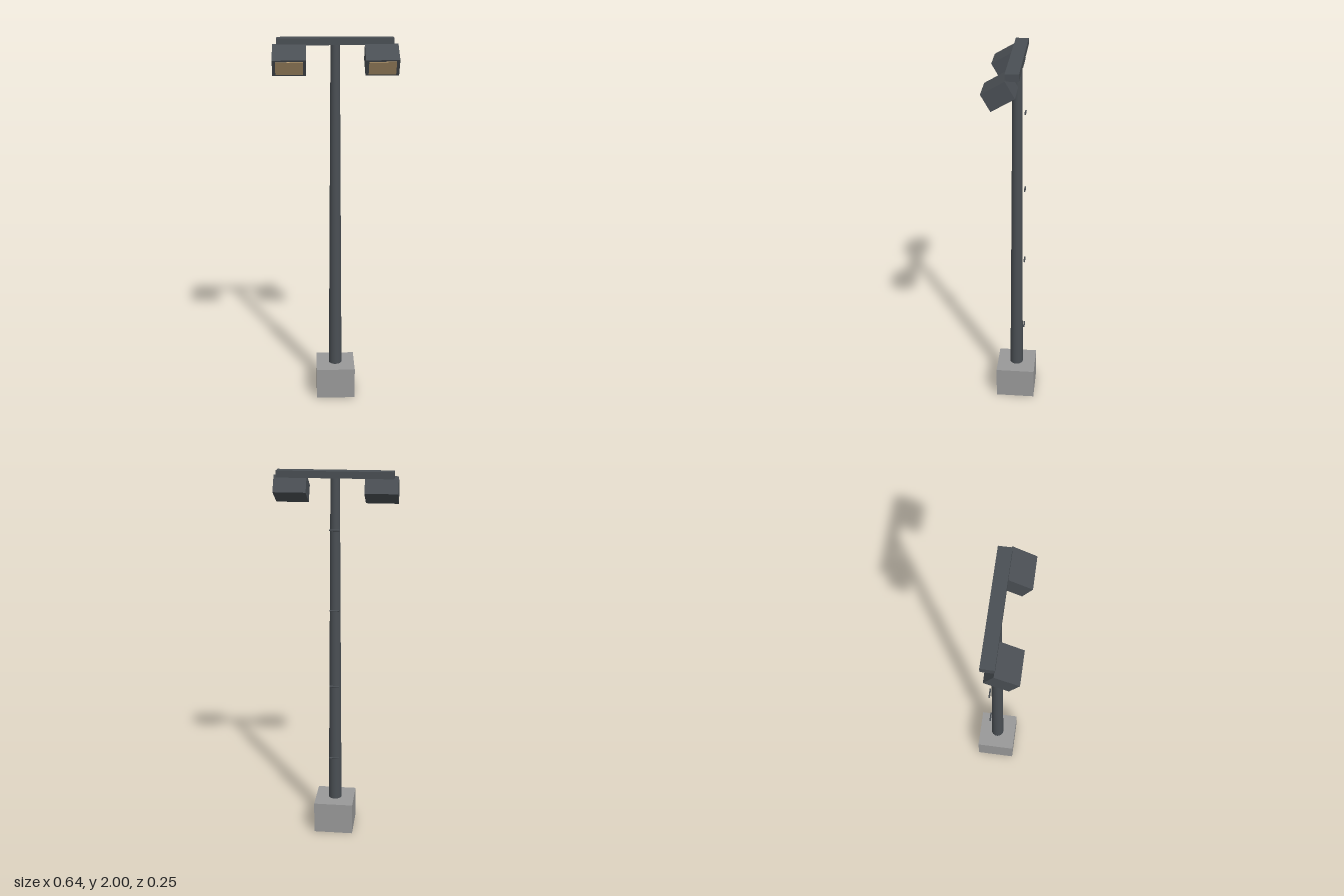
import * as THREE from 'three';

const AXIS_Z = -0.0215; // depth of the pole axis

const paint = (color) => new THREE.MeshStandardMaterial({ color });

function addPart(parent, name, geometry, material, x, y, z) {
  const mesh = new THREE.Mesh(geometry, material);
  mesh.name = name;
  mesh.position.set(x, y, z);
  parent.add(mesh);
  return mesh;
}

export function createModel() {
  const model = new THREE.Group();
  model.name = 'floodlightMast';

  const concrete = paint(0x999999);
  const steel = paint(0x4a4f54);
  const glass = paint(0xb0956c);

  // Concrete footing
  addPart(model, 'footing', new THREE.BoxGeometry(0.213, 0.175, 0.213), concrete, 0, 0.0875, AXIS_Z);

  // Tapered pole, from the footing up to the crossbar
  const poleBottom = 0.17, poleTop = 1.97;
  addPart(model, 'pole', new THREE.CylinderGeometry(0.024, 0.036, poleTop - poleBottom, 16),
    steel, 0, (poleBottom + poleTop) / 2, AXIS_Z);

  // Crossbar
  addPart(model, 'crossbar', new THREE.BoxGeometry(0.596, 0.035, 0.067), steel, 0, 1.9825, AXIS_Z);

  // Climbing rungs behind the pole
  const rungGeometry = new THREE.CylinderGeometry(0.0045, 0.0045, 0.052, 8).rotateZ(Math.PI / 2);
  for (let i = 0; i < 4; i++) {
    addPart(model, 'rung', rungGeometry, steel, 0, 0.43 + i * 0.425, -0.0635);
  }

  // Two lamps tilted down towards the front, each with a slightly raised lens
  const depth = 0.133;
  for (const side of [-1, 1]) {
    const lamp = new THREE.Group();
    lamp.name = side > 0 ? 'leftLamp' : 'rightLamp';
    lamp.position.set(side * 0.234, 1.897, 0.043);
    lamp.rotation.x = Math.PI / 6;
    addPart(lamp, 'lampHousing', new THREE.BoxGeometry(0.17, 0.096, depth), steel, 0, 0, 0);
    addPart(lamp, 'lens', new THREE.BoxGeometry(0.138, 0.077, 0.012), glass, 0, 0, depth / 2 - 0.002);
    model.add(lamp);
  }

  return model;
}
